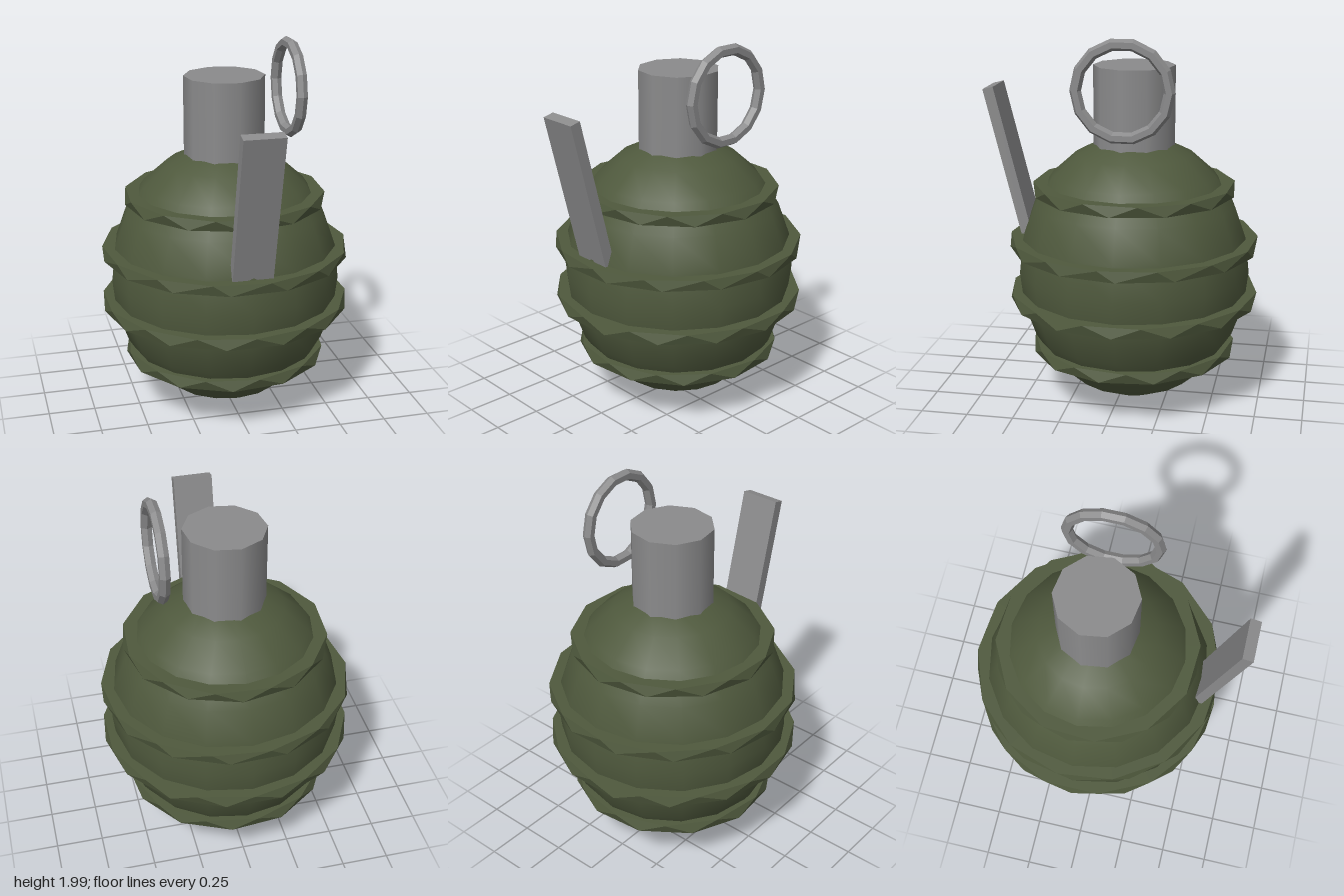
import * as THREE from 'three';

export function createModel() {
  const olive = new THREE.MeshStandardMaterial({ color: 0x4f593d });
  olive.name = 'olive';
  const steel = new THREE.MeshStandardMaterial({ color: 0x8b8b8c });
  steel.name = 'steel';

  const model = new THREE.Group();
  model.name = 'grenade';
  const axisZ = -0.06; // the body sits slightly behind the lever

  function add(name, geometry, material, x, y, z) {
    const mesh = new THREE.Mesh(geometry, material);
    mesh.name = name;
    mesh.position.set(x, y, z);
    model.add(mesh);
    return mesh;
  }

  // Faceted normals for the low-poly parts
  function faceted(geometry) {
    const flat = geometry.toNonIndexed();
    flat.computeVertexNormals();
    return flat;
  }

  // Disc whose lower rim is turned against the upper one, giving a zigzag edge
  function twistedDisc(radius, height, sides, twist) {
    const geometry = new THREE.CylinderGeometry(radius, radius, height, sides);
    const p = geometry.attributes.position;
    const v = new THREE.Vector3();
    const up = new THREE.Vector3(0, 1, 0);
    for (let i = 0; i < p.count; i++) {
      v.fromBufferAttribute(p, i);
      if (v.y < 0) v.applyAxisAngle(up, twist * Math.PI / sides);
      p.setXYZ(i, v.x, v.y, v.z);
    }
    return faceted(geometry);
  }

  // Egg-shaped body
  const body = new THREE.SphereGeometry(1, 16, 12);
  body.scale(0.62, 0.72, 0.62);
  add('body', body, olive, 0, 0.73, axisZ);

  // Raised bands: height, radius, sides, twist, turn
  const bands = [
    [0.295, 0.545, 12, 1, 0.1],
    [0.588, 0.665, 14, 1, 0.0],
    [0.88, 0.662, 14, 0.6, 0.12],
    [1.172, 0.535, 12, 1, 0.2],
  ];
  bands.forEach(([y, radius, sides, twist, turn], i) => {
    add(`band${i + 1}`, twistedDisc(radius, 0.056, sides, twist), olive, 0, y, axisZ).rotation.y = turn;
  });

  // Fuse neck
  const neck = add('neck', new THREE.CylinderGeometry(0.214, 0.214, 0.47, 10), steel, 0, 1.585, axisZ);
  neck.rotation.y = 0.15;

  // Safety lever, leaning outward at the top
  const lever = add('lever', new THREE.BoxGeometry(0.212, 0.9, 0.058), steel, 0, 1.255, 0.592);
  lever.rotation.x = 0.244;

  // Pull ring on the left side
  const ring = add('pullRing', faceted(new THREE.TorusGeometry(0.236, 0.03, 6, 14)), steel, 0.35, 1.737, axisZ);
  ring.rotation.y = Math.PI / 2;

  return model;
}
